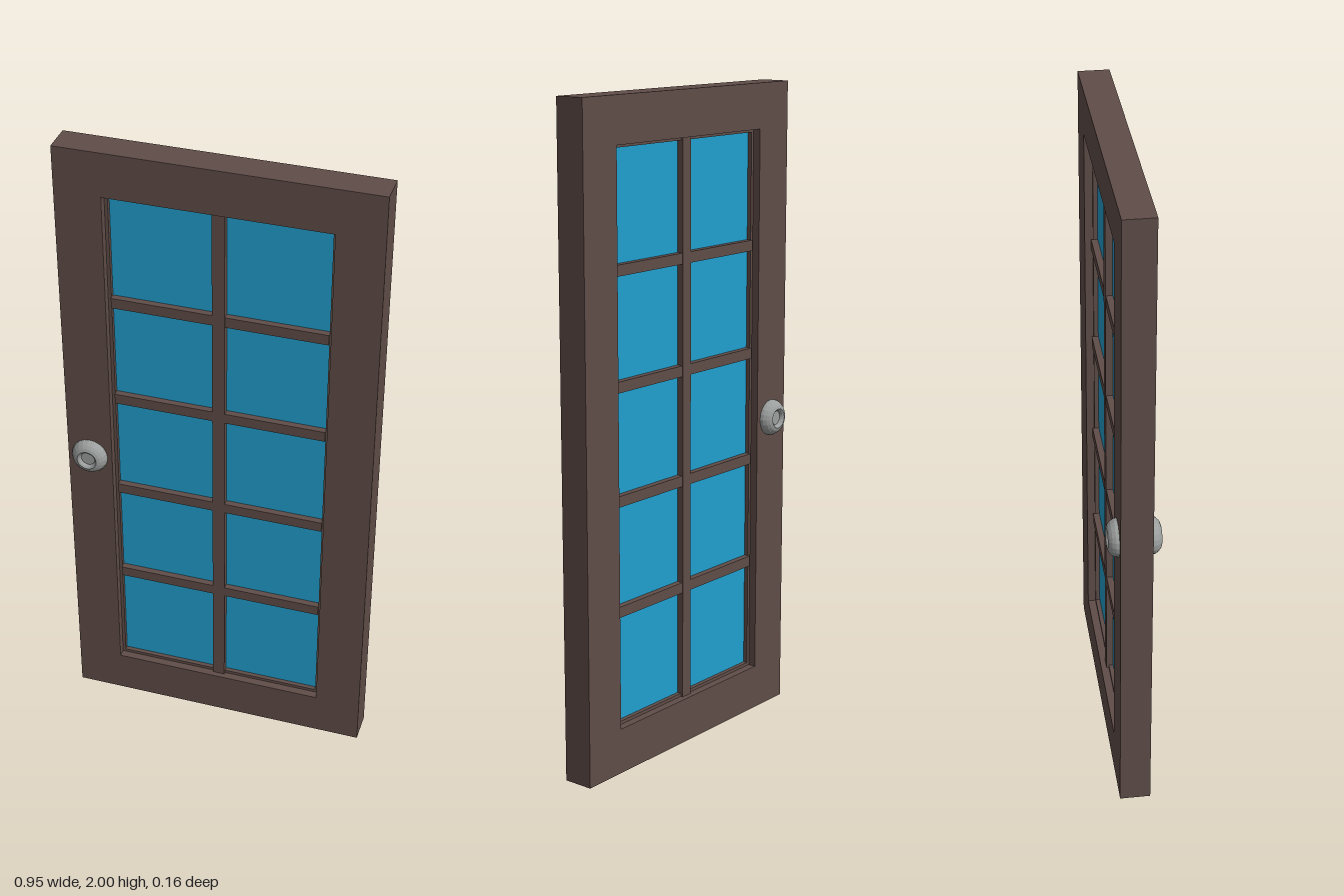
import * as THREE from 'three';

export function createModel() {
  const door = new THREE.Group();
  door.name = 'glazedDoor';
  const wood = new THREE.MeshStandardMaterial({ name: 'brown wood', color: 0x604d48 });
  const glass = new THREE.MeshStandardMaterial({ name: 'blue glass', color: 0x219fce });
  const metal = new THREE.MeshStandardMaterial({ name: 'grey metal', color: 0x9b9f9d, flatShading: true });

  const add = (name, geometry, material) => {
    const mesh = new THREE.Mesh(geometry, material);
    mesh.name = name;
    door.add(mesh);
    return mesh;
  };
  const box = (name, material, w, h, d, x, y) =>
    add(name, new THREE.BoxGeometry(w, h, d), material).position.set(x, y, 0);

  // Rectangular ring given by outer and inner bounds [halfWidth, bottom, top]
  const trace = (path, [w, b, t]) =>
    path.moveTo(-w, b).lineTo(w, b).lineTo(w, t).lineTo(-w, t).closePath();
  const ring = (name, outer, inner, depth) => {
    const shape = trace(new THREE.Shape(), outer);
    shape.holes.push(trace(new THREE.Path(), inner));
    const geometry = new THREE.ExtrudeGeometry(shape, { depth, bevelEnabled: false });
    add(name, geometry.translate(0, 0, -depth / 2), wood);
  };

  // Outer frame with a recessed glazing stop inside it
  const opening = [0.334, 0.14, 1.862];
  const sight = [0.324, 0.15, 1.852];
  ring('frame', [0.475, 0, 2], opening, 0.094);
  ring('glazingStop', opening, sight, 0.045);

  // Glass and glazing bars
  box('glassPane', glass, 0.65, 1.704, 0.018, 0, 1.001);
  box('verticalBar', wood, 0.038, 1.722, 0.06, 0, 1.001);
  for (const y of [0.495, 0.832, 1.171, 1.508]) {
    for (const side of [-1, 1]) {
      box('horizontalBar', wood, 0.305, 0.033, 0.058, side * 0.1715, y);
    }
  }

  // Dished round knob on both faces
  const profile = [
    [0.057, 0], [0.055, 0.011], [0.049, 0.021], [0.041, 0.028],
    [0.031, 0.032], [0.026, 0.028], [0.022, 0.02], [0, 0.02],
  ].map(([r, h]) => new THREE.Vector2(r, h)).reverse();
  const knob = new THREE.LatheGeometry(profile.reverse(), 20).rotateX(Math.PI / 2);
  for (const side of [-1, 1]) {
    const mesh = add(side > 0 ? 'frontKnob' : 'backKnob', knob, metal);
    mesh.position.set(-0.405, 0.955, side * 0.046);
    if (side < 0) mesh.rotation.y = Math.PI;
  }
  return door;
}
